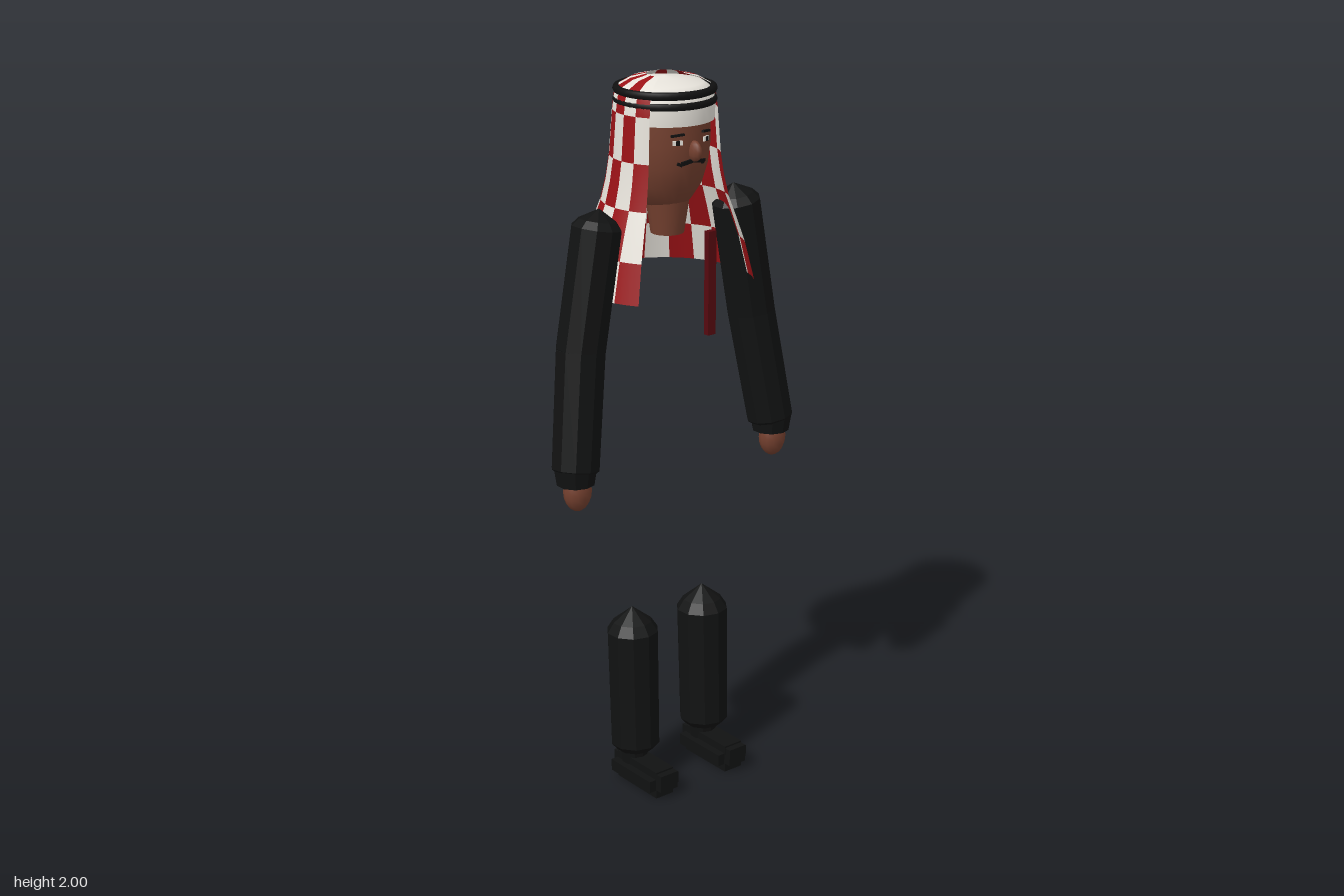
import * as THREE from 'three';
import { mergeGeometries } from 'three/addons/utils/BufferGeometryUtils.js';

const mat = (name, color, extra = {}) => {
  const m = new THREE.MeshStandardMaterial({ color, ...extra });
  m.name = name;
  return m;
};
const V2 = (list) => list.map(([x, y]) => new THREE.Vector2(x, y));
const AXIS_Z = 0.02; // the head and scarf turn around this line

export function createModel() {
  const model = new THREE.Group();
  model.name = 'figure';
  const white = mat('scarf white', 0xe6e2da, { side: THREE.DoubleSide });
  const red = mat('scarf red', 0x9a1216, { side: THREE.DoubleSide });
  const black = mat('black cloth', 0x101010);
  const skin = mat('skin', 0x74402f);
  const maroon = mat('tie maroon', 0x56090f);
  const flatBlack = mat('sleeve black', 0x111212, { flatShading: true });

  const add = (parent, name, geo, material, x = 0, y = 0, z = 0) => {
    const m = new THREE.Mesh(geo, material);
    m.name = name;
    m.position.set(x, y, z);
    parent.add(m);
    return m;
  };

  // Head, neck and nose
  const head = new THREE.Group();
  head.name = 'head';
  head.position.z = AXIS_Z;
  model.add(head);
  const face = [[0, 1.64], [0.04, 1.645], [0.068, 1.67], [0.097, 1.715], [0.113, 1.77], [0.12, 1.83], [0.118, 1.9]];
  add(head, 'face', new THREE.LatheGeometry(V2(face), 24), skin);
  add(head, 'neck', new THREE.CylinderGeometry(0.06, 0.045, 0.1, 16), skin, 0, 1.63, 0.01);
  add(head, 'nose', new THREE.SphereGeometry(1, 12, 8), skin, 0, 1.817, 0.122).scale.set(0.015, 0.028, 0.026);

  // Thin plates laid on the face at an angle from the front
  const plate = (name, angle, y, r, w, h, material, tilt = 0) => {
    const m = add(head, name, new THREE.BoxGeometry(w, h, 0.008), material, r * Math.sin(angle), y, r * Math.cos(angle));
    m.rotation.set(0, angle, tilt, 'YXZ');
  };
  for (const s of [-1, 1]) {
    plate('eyeWhite', s * 0.4, 1.842, 0.119, 0.026, 0.012, white);
    plate('pupil', s * 0.4, 1.842, 0.121, 0.011, 0.012, black);
    plate('eyebrow', s * 0.4, 1.862, 0.12, 0.036, 0.006, black, -s * 0.1);
    plate('moustache', s * 0.15, 1.789, 0.117, 0.034, 0.01, black, -s * 0.2);
    plate('moustacheTip', s * 0.34, 1.784, 0.116, 0.014, 0.008, black, s * 0.4);
  }

  // White cap under the scarf, showing on the forehead and crown
  const cap = [[0.13, 1.885], [0.132, 1.93], [0.126, 1.962], [0.1, 1.98], [0.05, 1.988], [0, 1.996]];
  add(head, 'cap', new THREE.LatheGeometry(V2(cap), 32), white);

  // Chequered scarf, open at the front
  const rows = [
    [[0.24, 1.44], [0.214, 1.545]],
    [[0.214, 1.545], [0.192, 1.61], [0.17, 1.67]],
    [[0.17, 1.67], [0.156, 1.73], [0.147, 1.79]],
    [[0.147, 1.79], [0.138, 1.91]],
    [[0.138, 1.91], [0.133, 1.95], [0.122, 1.972]],
    [[0.122, 1.972], [0.09, 1.99], [0.05, 2.0]],
  ];
  const columns = 15, start = THREE.MathUtils.degToRad(55);
  const step = (2 * Math.PI - 2 * start) / columns;
  const cells = [[], []];
  rows.forEach((points, r) => {
    for (let c = 0; c < columns; c++)
      cells[(r + c) % 2].push(new THREE.LatheGeometry(V2(points), 3, start + c * step, step));
  });
  add(head, 'scarfRedChecks', mergeGeometries(cells[0]), red);
  add(head, 'scarfWhiteChecks', mergeGeometries(cells[1]), white);

  // Twin cord around the head
  for (const y of [1.936, 1.964])
    add(head, 'headCord', new THREE.TorusGeometry(0.126, 0.011, 8, 40), black, 0, y, 0).rotation.x = Math.PI / 2;

  // Tie hanging in front
  add(model, 'tie', new THREE.BoxGeometry(0.026, 0.28, 0.017), maroon, 0, 1.48, 0.209);

  // Faceted limb section between two points, with pointed ends
  const limb = (parent, name, a, b, ra, rb, capA, capB) => {
    const from = new THREE.Vector3(...a), to = new THREE.Vector3(...b);
    const len = from.distanceTo(to);
    const profile = [[0, -capB], [rb * 0.75, -capB * 0.5], [rb, 0], [ra, len], [ra * 0.75, len + capA * 0.4], [0, len + capA]];
    const m = add(parent, name, new THREE.LatheGeometry(V2(profile), 10), flatBlack, ...b);
    m.quaternion.setFromUnitVectors(new THREE.Vector3(0, 1, 0), from.sub(to).normalize());
  };

  for (const s of [-1, 1]) {
    const side = s > 0 ? 'left' : 'right';

    // Arm: sleeve, cuff and hand
    const arm = new THREE.Group();
    arm.name = side + 'Arm';
    model.add(arm);
    limb(arm, 'upperArm', [s * 0.235, 1.63, 0.032], [s * 0.293, 1.31, 0.035], 0.068, 0.068, 0.05, 0.04);
    limb(arm, 'forearm', [s * 0.293, 1.31, 0.035], [s * 0.339, 1.0, 0.068], 0.068, 0.066, 0.04, 0.03);
    add(arm, 'cuff', new THREE.CylinderGeometry(0.06, 0.052, 0.05, 10), flatBlack, s * 0.341, 0.985, 0.07);
    add(arm, 'hand', new THREE.SphereGeometry(1, 12, 10), skin, s * 0.341, 0.94, 0.078).scale.set(0.04, 0.055, 0.035);

    // Lower leg and stepped shoe
    const leg = new THREE.Group();
    leg.name = side + 'Leg';
    leg.position.x = s * 0.125;
    model.add(leg);
    limb(leg, 'shin', [0, 0.46, 0.034], [0, 0.12, 0.045], 0.073, 0.07, 0.07, 0.04);
    add(leg, 'ankle', new THREE.CylinderGeometry(0.045, 0.035, 0.08, 10), flatBlack, 0, 0.09, 0.04);
    add(leg, 'shoeSides', new THREE.BoxGeometry(0.102, 0.034, 0.175), flatBlack, 0, 0.04, 0.0875);
    add(leg, 'shoeSole', new THREE.BoxGeometry(0.06, 0.08, 0.175), flatBlack, 0, 0.04, 0.0905);
    add(leg, 'shoeToe', new THREE.BoxGeometry(0.058, 0.05, 0.213), flatBlack, 0, 0.05, 0.0915);
  }
  return model;
}
